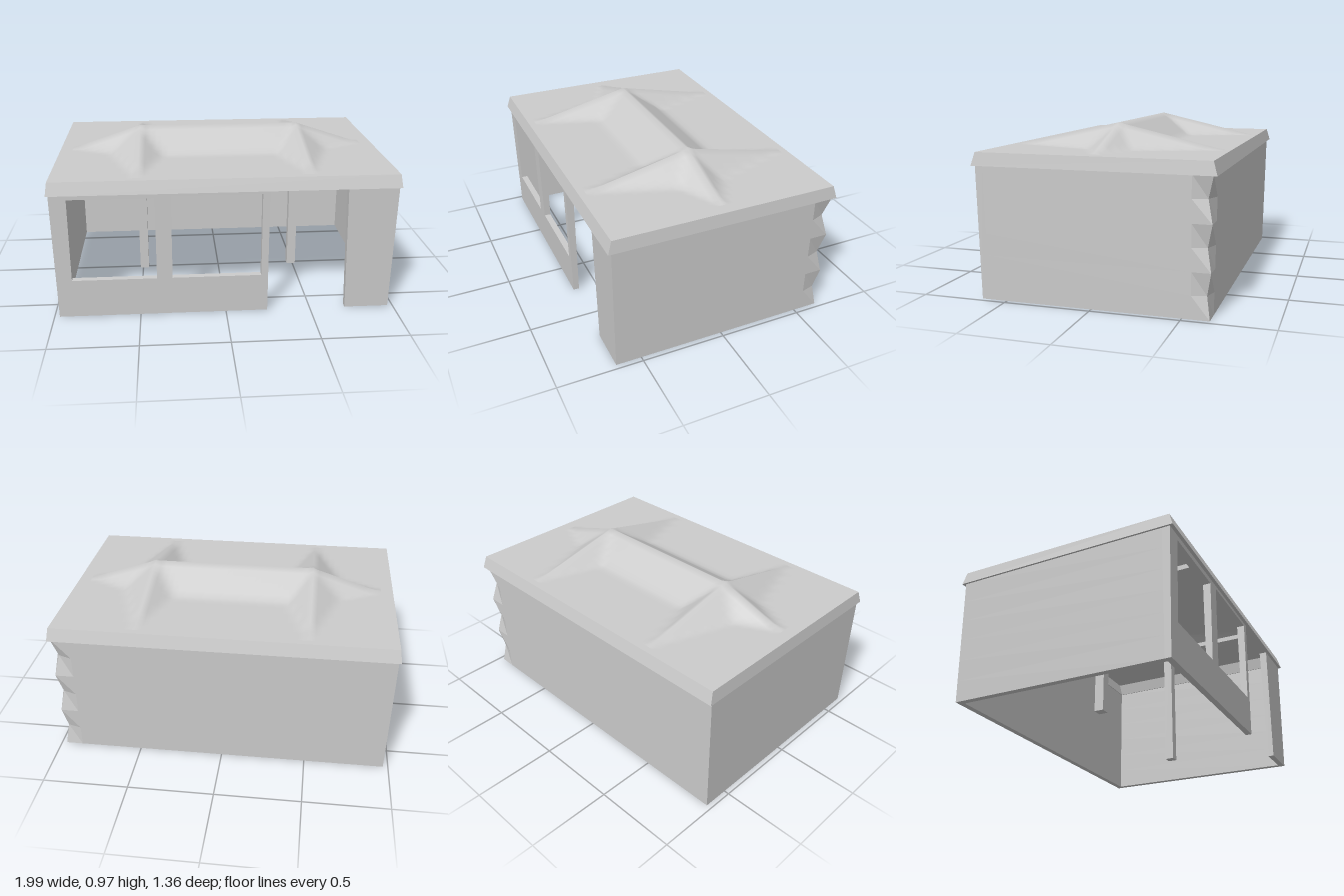
import * as THREE from 'three';

const material = new THREE.MeshStandardMaterial({ color: 0xcccccc, side: THREE.DoubleSide });

function addMesh(parent, name, geometry, x = 0, y = 0, z = 0) {
  const mesh = new THREE.Mesh(geometry, material);
  mesh.name = name;
  mesh.position.set(x, y, z);
  parent.add(mesh);
}

function polygon(points) {
  return new THREE.Shape(points.map(([x, y]) => new THREE.Vector2(x, y)));
}

function rect(x0, x1, y0, y1) {
  return [[x0, y0], [x1, y0], [x1, y1], [x0, y1]];
}

// Joins rectangular rings [halfX, halfZ, y] into a faceted skin
function loftRings(rings) {
  const corners = [[-1, 1], [1, 1], [1, -1], [-1, -1]];
  const at = ([hx, hz, y], i) => [corners[i % 4][0] * hx, y, corners[i % 4][1] * hz];
  const positions = [];
  for (let r = 0; r < rings.length - 1; r++) {
    for (let i = 0; i < 4; i++) {
      const a = at(rings[r], i), b = at(rings[r], i + 1);
      const c = at(rings[r + 1], i + 1), d = at(rings[r + 1], i);
      positions.push(...a, ...b, ...c, ...a, ...c, ...d);
    }
  }
  const geometry = new THREE.BufferGeometry();
  geometry.setAttribute('position', new THREE.Float32BufferAttribute(positions, 3));
  geometry.computeVertexNormals();
  return geometry;
}

const W = 0.97, D = 0.65, H = 0.76, T = 0.035, STEPS = 6;
const ROOF_X = 0.91, ROOF_Z = 0.62, EAVES = 0.83, RISE = 0.14, POST_X = 0.49;

// Roof sheet sagging between a ridge and the rafters that cross it at the posts
function roofGeometry() {
  const geometry = new THREE.PlaneGeometry(2 * ROOF_X, 2 * ROOF_Z, 52, 36);
  geometry.rotateX(-Math.PI / 2);
  const p = geometry.attributes.position;
  const sag = 0.65;
  for (let i = 0; i < p.count; i++) {
    const x = Math.abs(p.getX(i)), z = Math.abs(p.getZ(i));
    const ridge = RISE * Math.min(1, (ROOF_X - x) / (ROOF_X - POST_X)) - sag * z;
    const rafter = RISE * (1 - z / ROOF_Z) - sag * Math.abs(x - POST_X);
    p.setY(i, EAVES + Math.max(0, ridge, rafter));
  }
  geometry.computeVertexNormals();
  return geometry;
}

// Outer wall faces lean out slightly towards the eaves
function flare(geometry) {
  const p = geometry.attributes.position;
  for (let i = 0; i < p.count; i++) {
    const x = p.getX(i), z = p.getZ(i), lean = 0.012 * p.getY(i) / H;
    if (Math.abs(x) > W - 0.01) p.setX(i, x + Math.sign(x) * lean);
    if (Math.abs(z) > D - 0.01) p.setZ(i, z + Math.sign(z) * lean);
  }
  geometry.computeVertexNormals();
  return geometry;
}

// Back and side walls as one U-shaped plan, with a notched back corner
function shellGeometry() {
  const plan = polygon([
    [-W, T - D], [-W + T, T - D], [-W + T, D - T], [W - T, D - T],
    [W - T, T - D], [W, T - D], [W, D - 0.1], [W, D], [W - 0.1, D], [-W, D],
  ]);
  const geometry = new THREE.ExtrudeGeometry(plan, { depth: H, steps: STEPS, bevelEnabled: false });
  geometry.rotateX(-Math.PI / 2);
  const p = geometry.attributes.position;
  for (let i = 0; i < p.count; i++) {
    const x = p.getX(i), z = p.getZ(i);
    const notched = Math.round(p.getY(i) / H * STEPS) % 2 === 1;
    if (notched && x > W - 0.01 && z < 0.01 - D) {
      p.setX(i, x - 0.02);
      p.setZ(i, z + 0.02);
    }
  }
  return flare(geometry);
}

function frontSlab(shape) {
  const geometry = new THREE.ExtrudeGeometry(shape, { depth: T, bevelEnabled: false });
  return flare(geometry.translate(0, 0, D - T));
}

export function createModel() {
  const house = new THREE.Group();
  house.name = 'house';

  addMesh(house, 'backAndSideWalls', shellGeometry());

  // Front wall with two windows
  const front = polygon(rect(-W, 0.245, 0, H));
  for (const [x0, x1, top] of [[-0.885, -0.4, 0.725], [-0.31, 0.205, 0.735]]) {
    front.holes.push(new THREE.Path(polygon(rect(x0, x1, 0.23, top)).getPoints()));
  }
  addMesh(house, 'frontWall', frontSlab(front));

  // Short wall on the far side of the entrance
  addMesh(house, 'entrancePier', frontSlab(polygon([[0.71, 0], [W, 0], [W, H], [0.69, H]])));

  // Posts under the ridge ends, with tie beams across the house
  for (const x of [-POST_X, POST_X]) {
    addMesh(house, 'ridgePost', new THREE.BoxGeometry(0.055, 0.94, 0.055), x, 0.47, 0);
    addMesh(house, 'tieBeam', new THREE.BoxGeometry(0.035, 0.03, 1.22), x, 0.81, 0);
  }

  // Flared eaves: soffit, fascia, flat rim and inner face
  addMesh(house, 'eaves', loftRings([
    [0.93, 0.61, 0.755], [0.993, 0.682, 0.755], [0.983, 0.66, EAVES],
    [ROOF_X, ROOF_Z, EAVES], [0.93, 0.61, 0.755],
  ]));
  addMesh(house, 'roof', roofGeometry());

  return house;
}
